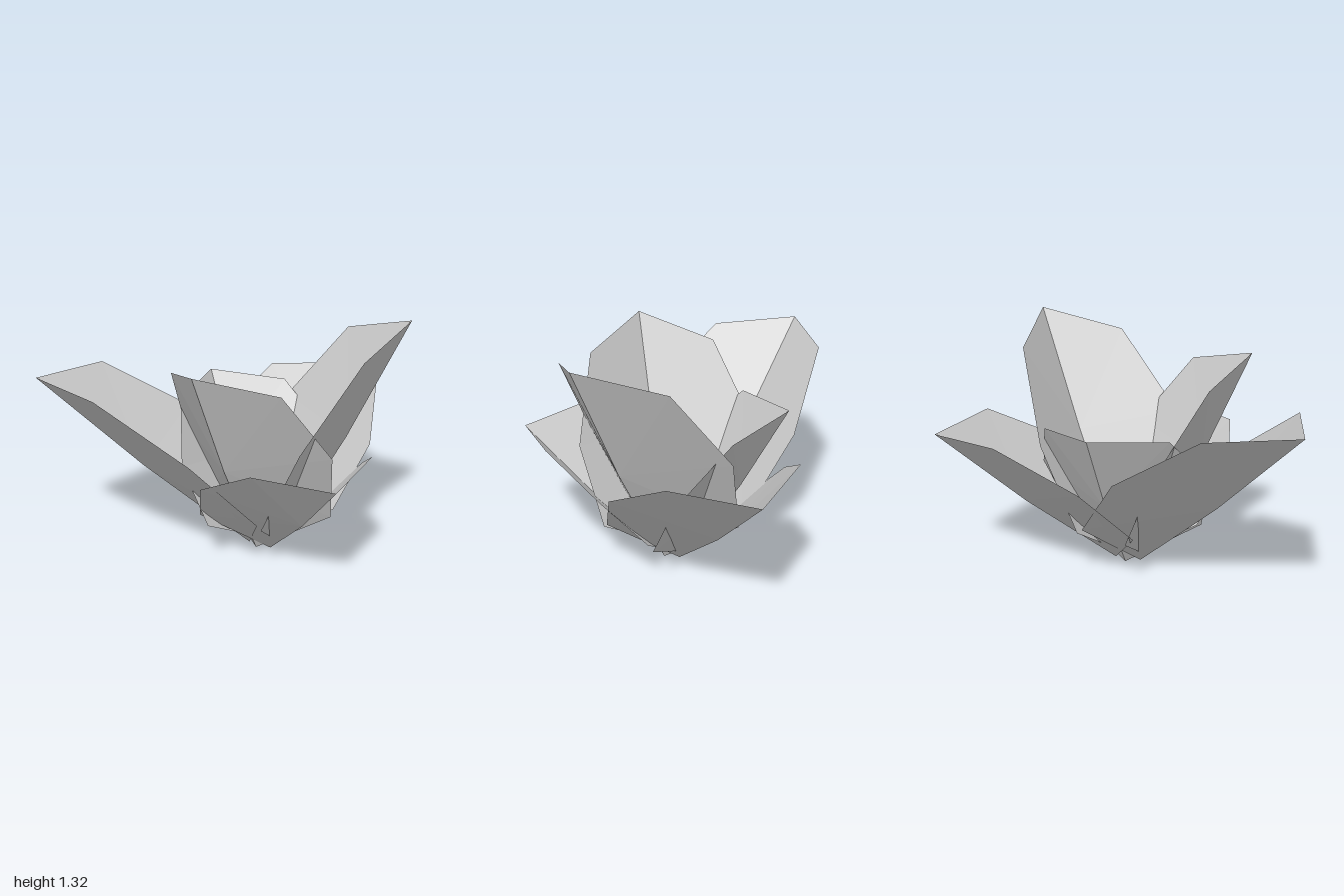
import * as THREE from 'three';

// One leaf in its own frame: x = half width, y = fold lift, z = along the rib.
// Width stays the same for every leaf; only the length changes.
function leafGeometry(length) {
  const fold = 0.58;
  const outline = [[0, 0], [0.405, 0.12], [0.49, 0.457], [0.35, 0.83], [0, 1]];
  const mid = [0, -0.022, 0.5 * length];
  const positions = [];
  for (const side of [1, -1]) {
    const pts = outline.map(([w, t]) => [side * w, w * fold, t * length]);
    for (let i = 0; i < pts.length - 1; i++) {
      const [a, b] = side > 0 ? [pts[i + 1], pts[i]] : [pts[i], pts[i + 1]];
      positions.push(...mid, ...a, ...b);
    }
  }
  const geometry = new THREE.BufferGeometry();
  geometry.setAttribute('position', new THREE.Float32BufferAttribute(positions, 3));
  geometry.computeVertexNormals();
  return geometry;
}

export function createModel() {
  const group = new THREE.Group();
  group.name = 'leafRosette';
  const leafGrey = new THREE.MeshStandardMaterial({
    color: 0xcccccc, side: THREE.DoubleSide, flatShading: true,
  });
  leafGrey.name = 'leafGrey';

  // Leaves spring from a small ring around the root and end at these tips
  const root = new THREE.Vector3(0.19, 0, -0.045);
  const ring = 0.085;
  const leaves = {
    frontLeaf: [0.225, 0.66, 0.805],
    frontRightLeaf: [-0.365, 1.18, 0.34],
    backRightLeaf: [-1, 1.02, -0.43],
    backLeaf: [0.08, 0.885, -0.64],
    backLeftLeaf: [0.99, 0.8, -0.725],
    leftLeaf: [0.93, 1.32, 0.215],
  };
  const up = new THREE.Vector3(0, 1, 0);
  for (const [name, tip] of Object.entries(leaves)) {
    const end = new THREE.Vector3(...tip);
    const outward = end.clone().sub(root).setY(0).normalize();
    const base = root.clone().addScaledVector(outward, ring);
    const rib = end.clone().sub(base);
    const length = rib.length();
    rib.normalize();
    const across = up.clone().cross(rib).normalize();
    const lift = rib.clone().cross(across);

    const leaf = new THREE.Mesh(leafGeometry(length), leafGrey);
    leaf.name = name;
    leaf.quaternion.setFromRotationMatrix(new THREE.Matrix4().makeBasis(across, lift, rib));
    leaf.position.copy(base);
    group.add(leaf);
  }
  return group;
}
